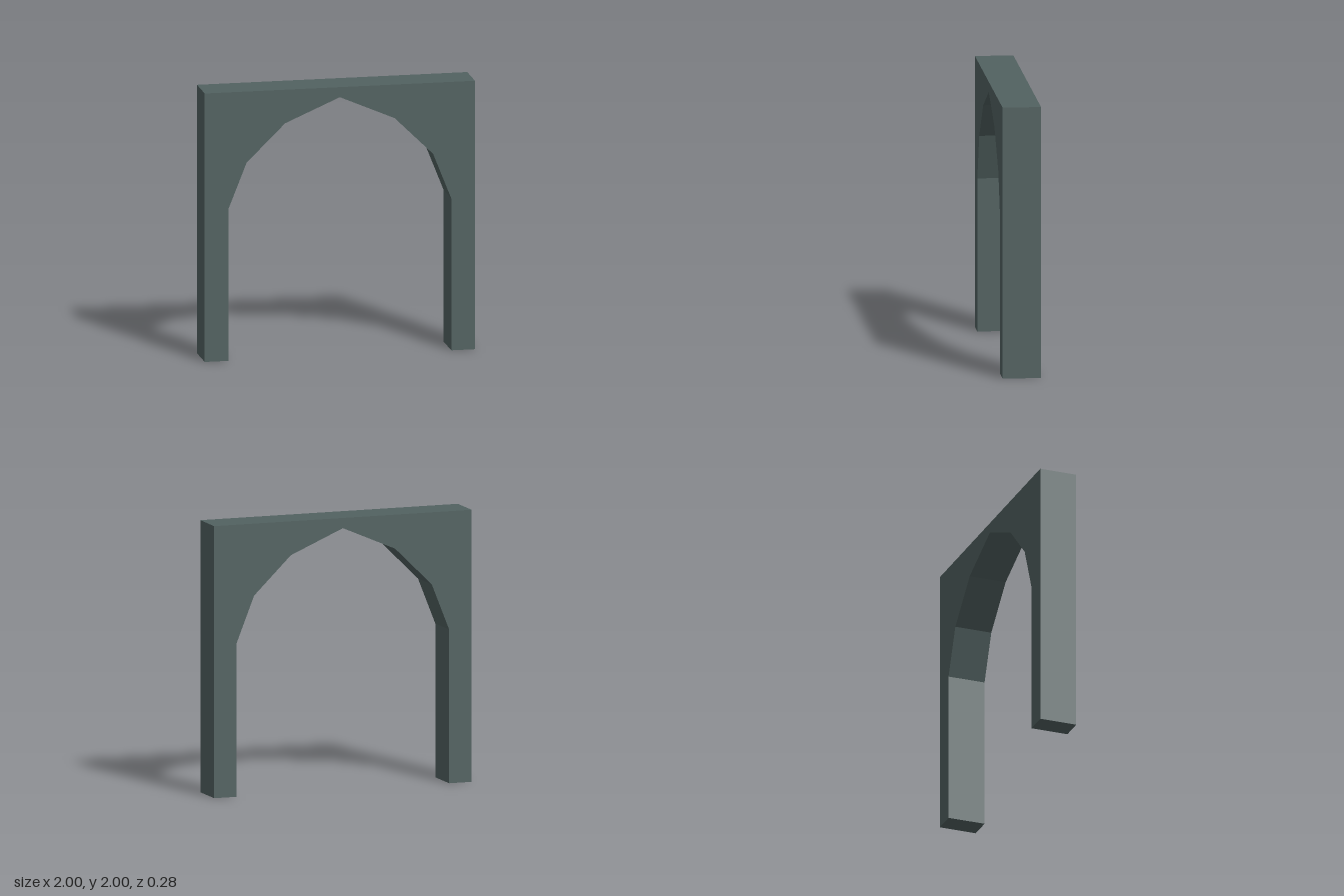
import * as THREE from 'three';

export function createModel() {
  const group = new THREE.Group();
  group.name = 'archway';

  const slate = new THREE.MeshStandardMaterial({ color: 0x526261 });
  slate.name = 'slate stone';

  const depth = 0.28;

  // Right half of the faceted opening, from the floor up to the apex
  const half = [[0.825, 0], [0.825, 1.13], [0.69, 1.47], [0.405, 1.75]];
  const mirrored = half.map(([x, y]) => [-x, y]).reverse();
  const opening = [...half, [0, 1.925], ...mirrored];

  // Square outline with the arch cut up from its base
  const outline = [[-1, 0], [-1, 2], [1, 2], [1, 0], ...opening];
  const shape = new THREE.Shape(outline.map(([x, y]) => new THREE.Vector2(x, y)));

  const geometry = new THREE.ExtrudeGeometry(shape, { depth, bevelEnabled: false });
  geometry.translate(0, 0, -depth / 2);

  const arch = new THREE.Mesh(geometry, slate);
  arch.name = 'archWall';
  group.add(arch);

  return group;
}
